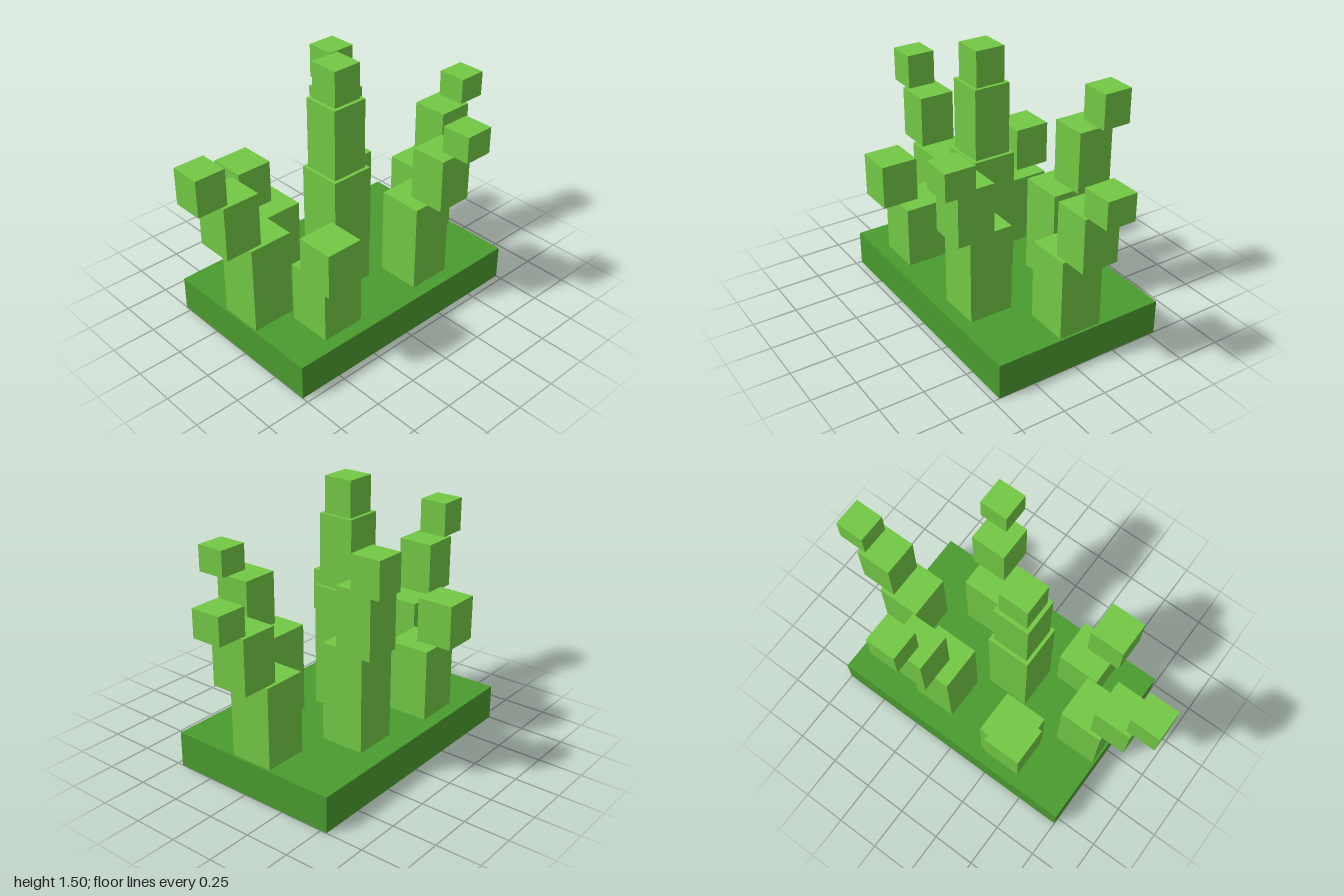
import * as THREE from 'three';

// Block widths from the bottom to the tip of every stalk
const WIDTHS = [0.248, 0.209, 0.169];

// Each stalk: block centres [x, z], and the heights where blocks meet
const STALKS = [
  { name: 'centreStalk', at: [[-0.102, 0.014], [-0.103, 0.014], [-0.102, 0.014]], y: [0.2, 0.9, 1.3, 1.5] },
  { name: 'rightStalk', at: [[-0.613, -0.037], [-0.765, -0.037], [-0.916, -0.036]], y: [0.2, 0.7, 1.0, 1.2] },
  { name: 'leftStalk', at: [[0.612, -0.037], [0.762, -0.037], [0.914, -0.036]], y: [0.2, 0.65, 0.95, 1.1] },
  { name: 'frontLeftStalk', at: [[0.247, 0.263], [0.308, 0.375], [0.368, 0.486]], y: [0.2, 0.7, 1.0, 1.15] },
  { name: 'frontRightStalk', at: [[-0.401, 0.263], [-0.475, 0.375]], y: [0.2, 0.55, 0.8] },
  { name: 'backRightStalk', at: [[-0.301, -0.337], [-0.377, -0.437]], y: [0.2, 0.6, 0.85] },
  { name: 'backLeftStalk', at: [[0.198, -0.287], [0.259, -0.387], [0.318, -0.487]], y: [0.2, 0.75, 1.1, 1.3] },
];

export function createModel() {
  const model = new THREE.Group();
  model.name = 'blockPlant';
  const leafGreen = new THREE.MeshStandardMaterial({ name: 'leafGreen', color: 0x72c844 });
  const darkGreen = new THREE.MeshStandardMaterial({ name: 'darkGreen', color: 0x4a9b2f });

  // Adds a box standing on height y0 and reaching y1
  function block(parent, name, material, width, depth, x, z, y0, y1) {
    const mesh = new THREE.Mesh(new THREE.BoxGeometry(width, y1 - y0, depth), material);
    mesh.name = name;
    mesh.position.set(x, (y0 + y1) / 2, z);
    parent.add(mesh);
  }

  // Ground slab
  block(model, 'base', darkGreen, 1.5, 1.0, 0, -0.036, 0, 0.2);

  // Stepped stalks that lean outward and shrink towards the tip
  for (const { name, at, y } of STALKS) {
    const stalk = new THREE.Group();
    stalk.name = name;
    at.forEach(([x, z], i) => {
      block(stalk, ['stem', 'branch', 'tip'][i], leafGreen, WIDTHS[i], WIDTHS[i], x, z, y[i], y[i + 1]);
    });
    model.add(stalk);
  }
  return model;
}
